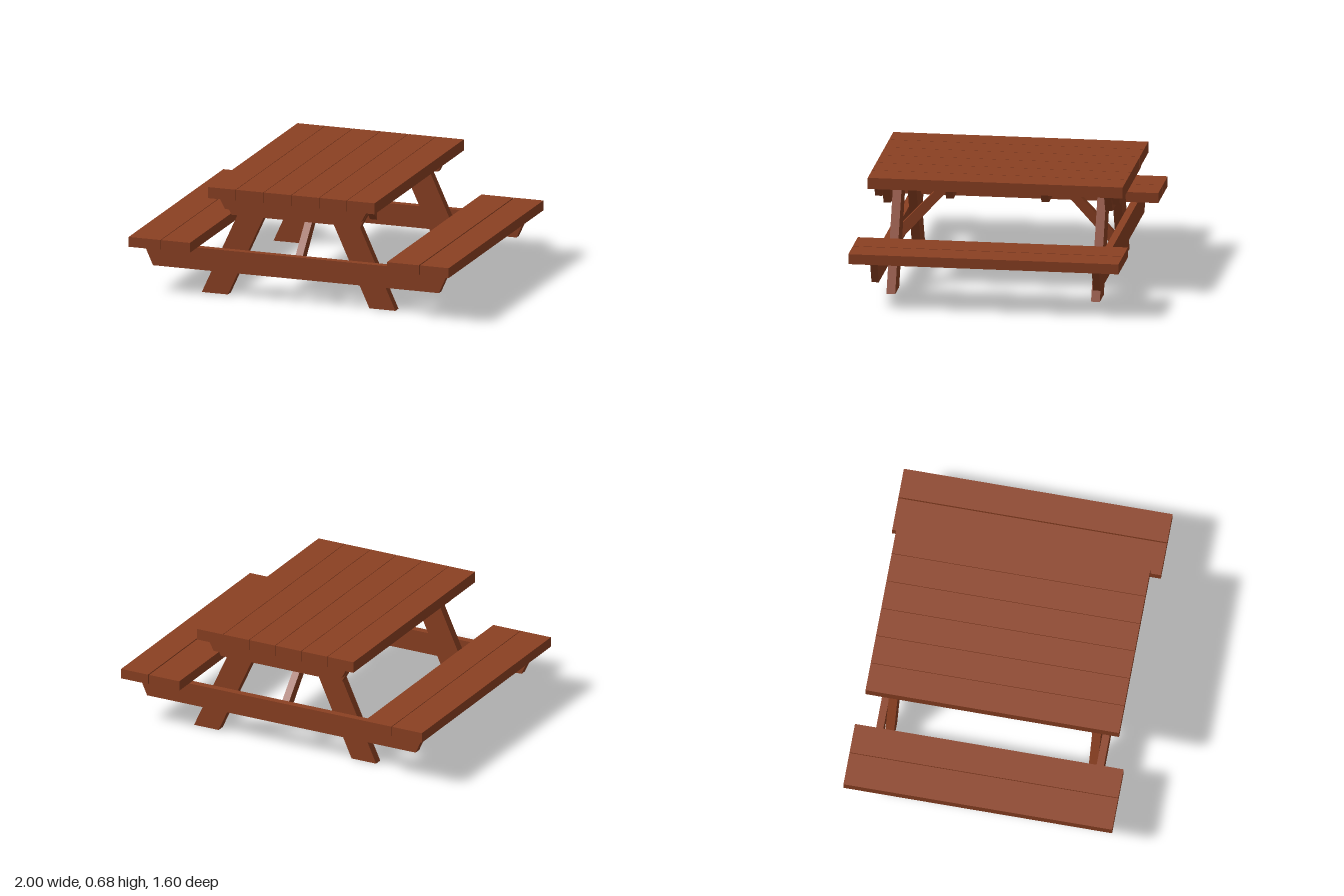
import * as THREE from 'three';

export function createModel() {
  const group = new THREE.Group();
  group.name = 'picnicTable';
  const wood = new THREE.MeshStandardMaterial({ color: 0x8b4022 });
  wood.name = 'brown wood';

  function add(name, geometry) {
    const mesh = new THREE.Mesh(geometry, wood);
    mesh.name = name;
    group.add(mesh);
    return mesh;
  }

  // Board spanning x0..x1, y0..y1 and the full length along z
  function plank(name, x0, x1, y0, y1, length) {
    add(name, new THREE.BoxGeometry(x1 - x0, y1 - y0, length))
      .position.set((x0 + x1) / 2, (y0 + y1) / 2, 0);
  }

  // Outline in x and y, extruded from z0 to z1
  function slab(name, points, z0, z1) {
    const shape = new THREE.Shape(points.map(([x, y]) => new THREE.Vector2(x, y)));
    const geometry = new THREE.ExtrudeGeometry(shape, { depth: z1 - z0, bevelEnabled: false });
    geometry.translate(0, 0, z0);
    return add(name, geometry);
  }

  // Cross rail with slanted ends, placed at a distance from the centre on either side
  function rail(name, bottom, top, y0, y1, z0, z1, side) {
    const points = [[-bottom, y0], [bottom, y0], [top, y1], [-top, y1]];
    slab(name, points, side > 0 ? z0 : -z1, side > 0 ? z1 : -z0);
  }

  // Table top: six boards
  const pitch = 1.04 / 6;
  for (let i = 0; i < 6; i++) {
    const x = -0.52 + i * pitch;
    plank('tableTopPlank', x + (i ? 0.0015 : 0), x + pitch - (i < 5 ? 0.0015 : 0), 0.61, 0.677, 1.51);
  }

  // Benches: two boards on each side
  plank('benchPlankRight', -1, -0.801, 0.28, 0.34, 1.6);
  plank('benchPlankRight', -0.797, -0.617, 0.28, 0.34, 1.6);
  plank('benchPlankLeft', 0.613, 0.814, 0.28, 0.34, 1.6);
  plank('benchPlankLeft', 0.821, 1, 0.28, 0.34, 1.6);

  for (const side of [1, -1]) {
    // Rails carrying the benches and the top
    rail('benchRail', 0.893, 0.953, 0.147, 0.28, 0.635, 0.678, side);
    rail('topRail', 0.402, 0.46, 0.5, 0.61, 0.635, 0.678, side);
    rail('endCleat', 0.425, 0.46, 0.545, 0.61, 0.682, 0.725, side);
    rail('innerCleat', 0.425, 0.46, 0.545, 0.61, 0.26, 0.305, side);

    // Splayed legs
    for (const s of [1, -1]) {
      const points = [[0.442, 0], [0.605, 0], [0.345, 0.57], [0.182, 0.57]].map(([x, y]) => [s * x, y]);
      slab('leg', points, side > 0 ? 0.58 : -0.632, side > 0 ? 0.632 : -0.58);
    }

    // Diagonal brace from the inner cleat down to the bench rail
    const brace = [[0.305, 0.535], [0.305, 0.608], [0.567, 0.335], [0.635, 0.262], [0.635, 0.172]];
    slab('brace', brace, -0.0225, 0.0225).rotation.y = -side * Math.PI / 2;
  }
  return group;
}
